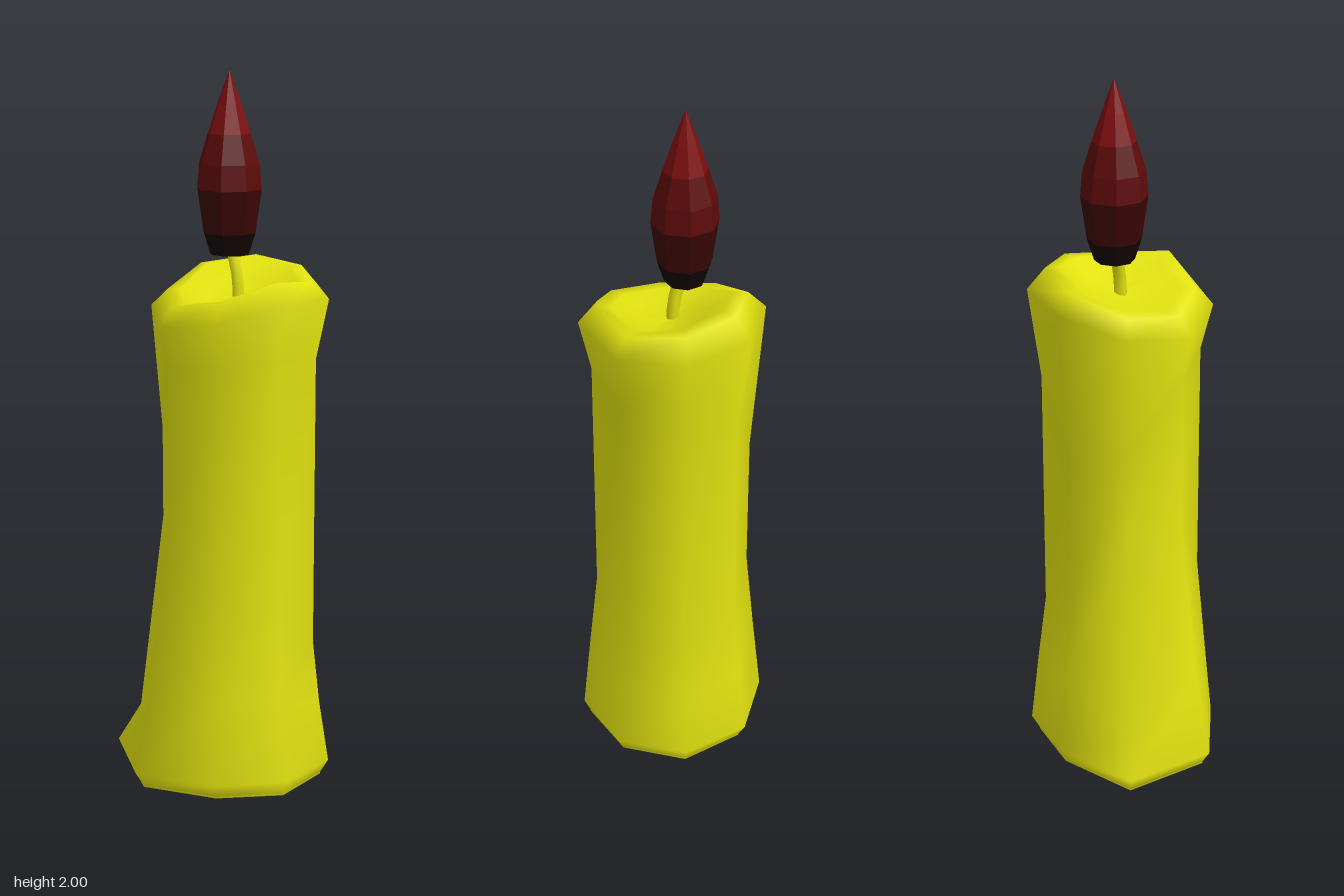
import * as THREE from 'three';

const SIDES = 8;
const CENTRE_X = 0.03;

// Columns run round the candle from +x through +z, -x and -z in 45 degree steps.
// Each ring lists radius and height per column; one number means all columns share it.
const RINGS = [
  { r: [0.25, 0.245, 0.25, 0.245, 0.31, 0.34, 0.25, 0.245], y: 0.005 }, // foot
  { r: [0.27, 0.268, 0.268, 0.268, 0.335, 0.362, 0.27, 0.268], y: 0.045 }, // widest melt
  { r: [0.245, 0.24, 0.245, 0.245, 0.28, 0.295, 0.245, 0.245],
    y: [0.22, 0.22, 0.28, 0.28, 0.3, 0.14, 0.28, 0.25] }, // flare
  { r: 0.22, y: [0.4, 0.4, 0.52, 0.55, 0.78, 0.74, 0.54, 0.45] }, // lower shaft
  { r: 0.22, y: [1.22, 1.22, 1.25, 1.22, 1.2, 1.0, 0.95, 1.15] }, // upper shaft
  { r: [0.255, 0.255, 0.253, 0.253, 0.25, 0.25, 0.255, 0.255],
    y: [1.4, 1.39, 1.4, 1.35, 1.32, 1.35, 1.4, 1.41] }, // rim
  { r: 0.205, y: [1.455, 1.435, 1.455, 1.4, 1.375, 1.395, 1.45, 1.47] }, // lip
  { r: 0.165, y: [1.455, 1.43, 1.435, 1.4, 1.38, 1.4, 1.455, 1.473] }, // inner lip
  { r: 0.1, y: [1.41, 1.4, 1.4, 1.38, 1.37, 1.385, 1.41, 1.42] }, // dish
  { r: 0, y: 1.39 },
];

const pick = (v, j) => (Array.isArray(v) ? v[j] : v);

// Joins rings of equal count into one smooth skin
function loft(rings) {
  const pos = [], index = [];
  rings.forEach((ring, i) => {
    for (let j = 0; j < SIDES; j++) {
      const a = (j / SIDES) * Math.PI * 2, r = pick(ring.r, j);
      pos.push(CENTRE_X * 1 + r * Math.cos(a), pick(ring.y, j), r * Math.sin(a));
      if (i === rings.length - 1) continue;
      const k = (j + 1) % SIDES;
      const p = i * SIDES + j, q = i * SIDES + k;
      index.push(p, p + SIDES, q, q, p + SIDES, q + SIDES);
    }
  });
  const geo = new THREE.BufferGeometry();
  geo.setAttribute('position', new THREE.Float32BufferAttribute(pos, 3));
  geo.setIndex(index);
  geo.computeVertexNormals();
  return geo;
}

function addMesh(group, name, geo, material) {
  const mesh = new THREE.Mesh(geo, material);
  mesh.name = name;
  group.add(mesh);
  return mesh;
}

export function createModel() {
  const model = new THREE.Group();
  model.name = 'candle';
  const wax = new THREE.MeshStandardMaterial({ color: 0xe2e210 });

  // Melted wax body and its flat underside
  addMesh(model, 'waxBody', loft(RINGS), wax);
  addMesh(model, 'waxUnderside', loft([{ r: 0, y: 0 }, { ...RINGS[0], y: 0 }, RINGS[0]]), wax);

  // Slightly leaning wick
  const wickPath = new THREE.CatmullRomCurve3([
    new THREE.Vector3(0.03, 1.37, 0),
    new THREE.Vector3(0.03, 1.44, -0.005),
    new THREE.Vector3(0.022, 1.53, -0.03),
  ]);
  addMesh(model, 'wick', new THREE.TubeGeometry(wickPath, 4, 0.018, 6), wax);

  // Faceted flame, dark at the root and red towards the tip
  const flame = new THREE.Group();
  flame.name = 'flame';
  flame.position.set(0.022, 0, -0.035);
  const bands = [
    ['flameRoot', 0x140303, [[0, 1.5], [0.055, 1.5], [0.074, 1.56]]],
    ['flameBelly', 0x3a0606, [[0.074, 1.56], [0.091, 1.68]]],
    ['flameShoulder', 0x5c0a0a, [[0.091, 1.68], [0.085, 1.75], [0.06, 1.83]]],
    ['flameTip', 0x7c0d0d, [[0.06, 1.83], [0.033, 1.91], [0, 2]]],
  ];
  for (const [name, color, profile] of bands) {
    const points = profile.map(([r, y]) => new THREE.Vector2(r, y));
    const material = new THREE.MeshStandardMaterial({ color, flatShading: true });
    addMesh(flame, name, new THREE.LatheGeometry(points, SIDES), material);
  }
  model.add(flame);
  return model;
}
